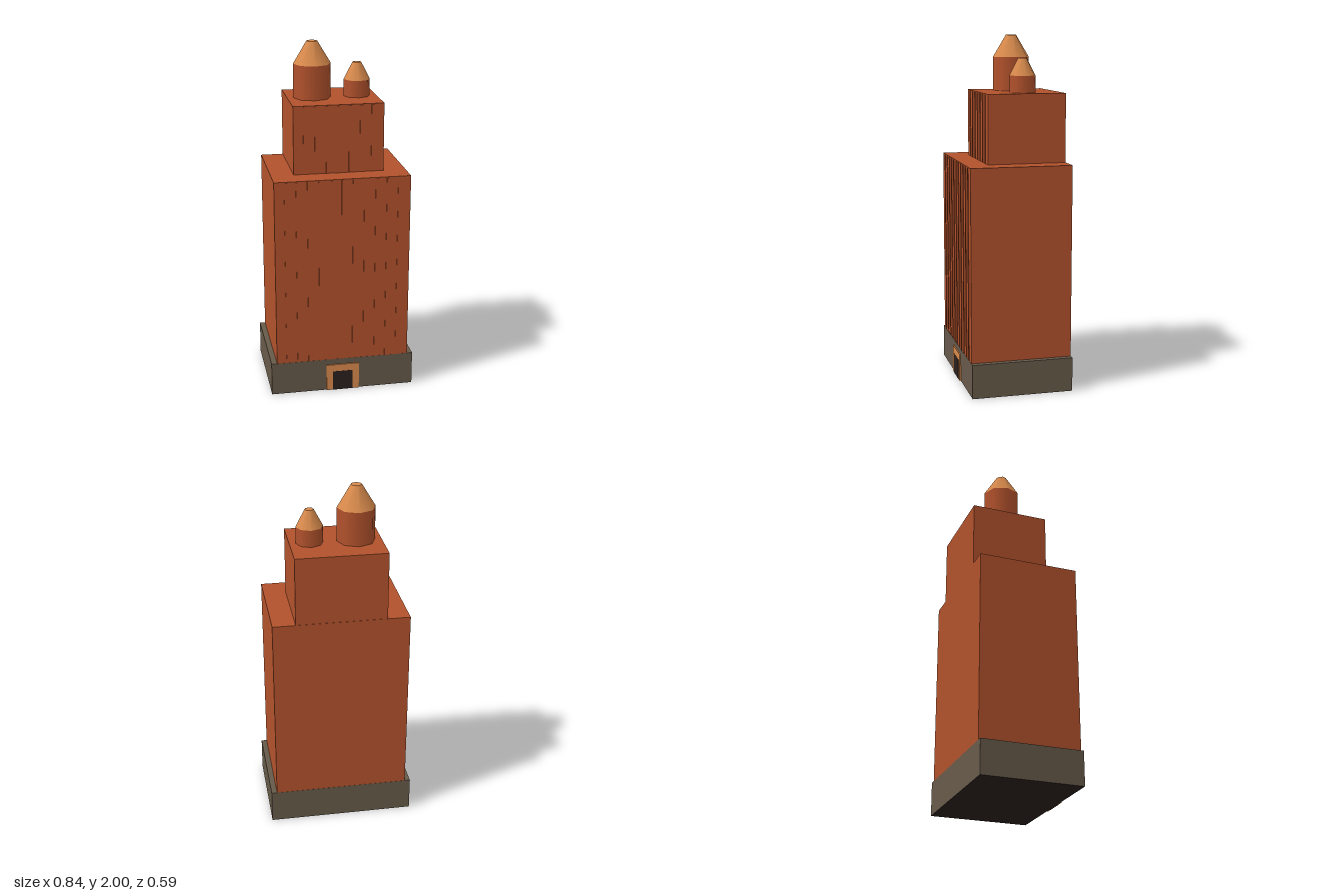
import * as THREE from 'three';

export function createModel() {
  const model = new THREE.Group();
  model.name = 'brickTower';

  const material = (name, color) => {
    const m = new THREE.MeshStandardMaterial({ color });
    m.name = name;
    return m;
  };
  const brick = material('brick', 0xb2522c);
  const stone = material('stone', 0x675a4a);
  const copper = material('copper', 0xd88a4c);
  const dark = material('dark', 0x2a201e);

  const add = (name, geometry, mat, x, y, z) => {
    const mesh = new THREE.Mesh(geometry, mat);
    mesh.name = name;
    mesh.position.set(x, y, z);
    model.add(mesh);
  };
  // Box given by its centre x, width and y / z ranges
  const block = (name, mat, x, w, y0, y1, z0, z1) =>
    add(name, new THREE.BoxGeometry(w, y1 - y0, z1 - z0), mat, x, (y0 + y1) / 2, (z0 + z1) / 2);

  // Stacked blocks, nearly flush at the back; the base has a dark underside
  const back = -0.294, front = 0.286, mainFront = 0.285, upperFront = 0.157;
  block('base', [stone, stone, stone, dark, stone, stone], 0, 0.836, 0, 0.195, back, front);
  block('mainBlock', brick, 0, 0.772, 0.195, 1.29, back + 0.001, mainFront);
  block('upperBlock', brick, 0, 0.514, 1.29, 1.68, back + 0.003, upperFront);

  // Slim vertical ribs on the front faces
  const ribs = (name, n, y0, y1, z) => {
    for (let i = -n; i <= n; i++) block(name, brick, i * 0.0643, 0.016, y0, y1, z - 0.003, z + 0.003);
  };
  ribs('mainRib', 5, 0.195, 1.285, mainFront);
  ribs('upperRib', 3, 1.29, 1.675, upperFront);

  // Doorway: three-sided surround and dark door
  for (const s of [-1, 1]) block('doorJamb', copper, s * 0.0775, 0.037, 0, 0.161, front, 0.293);
  block('doorLintel', copper, 0, 0.118, 0.118, 0.161, front, 0.293);
  block('door', dark, 0, 0.118, 0, 0.118, front, 0.294);

  // Eight-sided turrets with truncated copper roofs
  const turret = (name, x, r, tip, eaves, top) => {
    const z = -0.069, foot = 1.68;
    add(name + 'Drum', new THREE.CylinderGeometry(r, r, eaves - foot, 8), brick, x, (foot + eaves) / 2, z);
    add(name + 'Roof', new THREE.CylinderGeometry(tip, r, top - eaves, 8), copper, x, (eaves + top) / 2, z);
  };
  turret('largeTurret', -0.113, 0.108, 0.031, 1.873, 2);
  turret('smallTurret', 0.145, 0.076, 0.025, 1.776, 1.873);

  return model;
}
